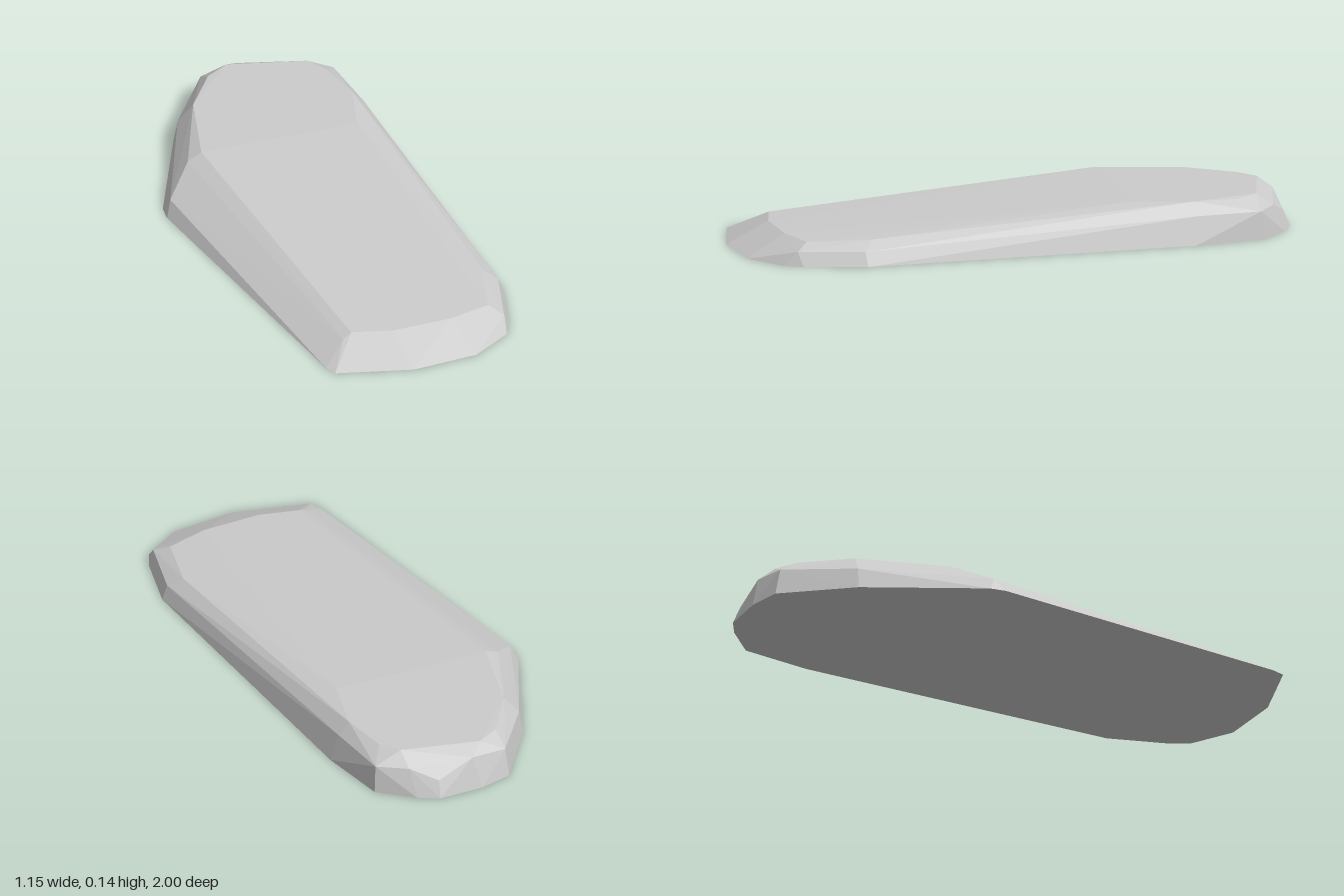
import * as THREE from 'three';
import { ConvexGeometry } from 'three/addons/geometries/ConvexGeometry.js';

// Outline on the ground, as [x, z]
const base = [
  [-0.12, -1], [-0.04, -0.98], [0.1, -0.91], [0.21, -0.67], [0.575, 0.49], [0.575, 0.72],
  [0.56, 0.79], [0.44, 0.92], [0.21, 1], [-0.07, 1], [-0.1, 0.96], [-0.57, -0.1],
  [-0.58, -0.16], [-0.5, -0.62], [-0.39, -0.9], [-0.28, -0.96],
];

// Bevel around the rim, as [x, y, z]
const rim = [
  [-0.12, 0.06, -0.975], [-0.02, 0.1, -0.94], [0.095, 0.1, -0.9], [0.18, 0.1, -0.67],
  [0.555, 0.05, 0.5], [0.555, 0.05, 0.74], [-0.03, 0.06, 0.87], [-0.555, 0.05, -0.14],
  [-0.48, 0.12, -0.28], [-0.485, 0.08, -0.62], [-0.38, 0.1, -0.88], [-0.25, 0.115, -0.935],
];

// Top: level towards the back, sloping down to the front
const top = [
  [-0.29, 0.145, -0.88], [0, 0.145, -0.88], [0.065, 0.14, -0.82], [0.14, 0.145, -0.66],
  [0.14, 0.145, -0.44], [0.5, 0.083, 0.48], [0.5, 0.075, 0.71], [0.36, 0.076, 0.79],
  [0.15, 0.075, 0.85], [0, 0.075, 0.85], [-0.43, 0.145, -0.3], [-0.43, 0.145, -0.62],
  [-0.36, 0.143, -0.81],
];

export function createModel() {
  const group = new THREE.Group();
  group.name = 'stone';
  const points = [...base.map(([x, z]) => [x, 0, z]), ...rim, ...top]
    .map((p) => new THREE.Vector3(...p));
  const slab = new THREE.Mesh(
    new ConvexGeometry(points),
    new THREE.MeshStandardMaterial({ color: 0xcccccc, flatShading: true }),
  );
  slab.name = 'stoneSlab';
  group.add(slab);
  return group;
}
